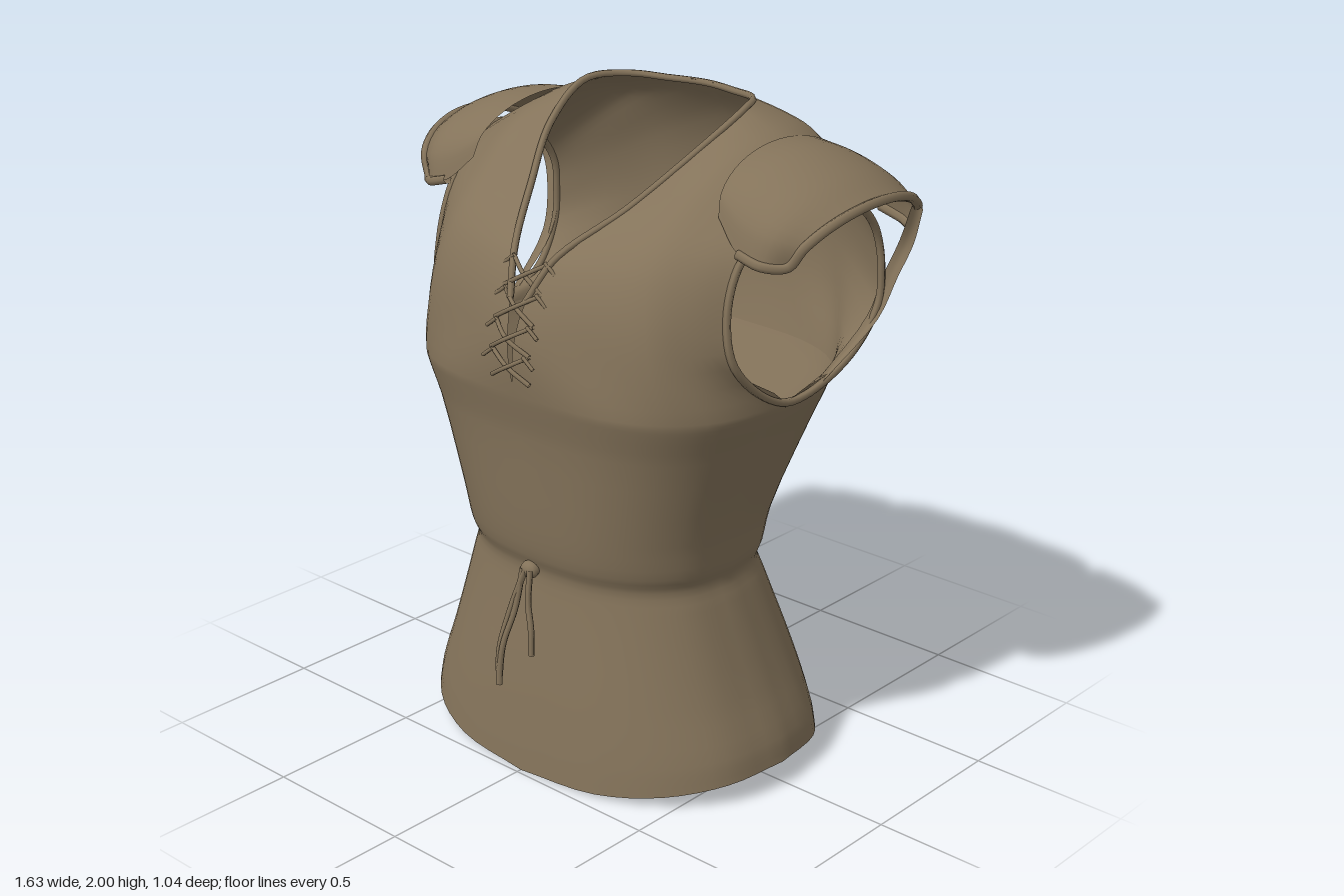
import * as THREE from 'three';
import { mergeGeometries, mergeVertices } from 'three/addons/utils/BufferGeometryUtils.js';

const V = (p) => new THREE.Vector3(...p);
const flip = (p) => [-p[0], p[1], p[2]];
const spline = (pts, closed = false) => new THREE.CatmullRomCurve3(pts.map(V), closed);

// Smooth sheet through rows of control points; side = -1 mirrors it in x
function sheet(rows, side, steps, across) {
  const cols = rows[0].map((_, j) => spline(rows.map((r) => r[j])));
  const n = (rows.length - 1) * steps, w = across + 1;
  const pos = [], idx = [];
  for (let i = 0; i <= n; i++) {
    const line = new THREE.CatmullRomCurve3(cols.map((c) => c.getPoint(i / n)));
    for (let j = 0; j <= across; j++) {
      const p = line.getPoint(j / across);
      pos.push(p.x < 0.003 ? 0 : p.x * side, p.y, p.z);
    }
  }
  for (let i = 0; i < n; i++) for (let j = 0; j < across; j++) {
    const a = i * w + j, b = a + 1, c = a + w, d = c + 1;
    if (side > 0) idx.push(a, b, c, b, d, c);
    else idx.push(a, c, b, b, c, d);
  }
  const g = new THREE.BufferGeometry();
  g.setAttribute('position', new THREE.Float32BufferAttribute(pos, 3));
  g.setIndex(idx);
  return g;
}

function smooth(geos) {
  const g = mergeVertices(mergeGeometries(geos), 1e-3);
  g.computeVertexNormals();
  return g;
}

// Quarter of a torso ring, from the centre line to the side seam; squarer at the chest
function quarterRing([y, w, zf, zb], end) {
  const mid = (zf + zb) / 2, depth = (zf - zb) / 2;
  const e = 2 / (2.3 + 0.5 * THREE.MathUtils.clamp((y - 0.66) / 0.5, 0, 1));
  return [0, 1, 2, 3, 4].map((k) => {
    const a = (k * Math.PI) / 8, s = Math.sin(a), c = k === 4 ? 0 : Math.cos(a);
    const lift = 0.08 * Math.max(0, 1 - y / 0.3) * s * s;
    return [w * s ** e, y + lift, mid + end * depth * c ** e];
  });
}

// Height, half width, front z, back z
const TORSO = [
  [0, 0.645, 0.485, -0.45], [0.1, 0.63, 0.475, -0.44], [0.3, 0.57, 0.45, -0.405],
  [0.57, 0.478, 0.407, -0.315], [0.64, 0.455, 0.402, -0.295], [0.69, 0.47, 0.42, -0.31],
  [0.8, 0.485, 0.435, -0.33], [1.08, 0.565, 0.458, -0.425], [1.18, 0.6, 0.477, -0.46],
  [1.22, 0.61, 0.484, -0.473],
];

// Neck edge, middle and armhole edge, from the chest over the shoulder and down the back
const SHOULDER = [
  [[0.01, 1.36, 0.495], [0.44, 1.36, 0.395], [0.59, 1.37, 0.21]],
  [[0.03, 1.5, 0.46], [0.41, 1.51, 0.38], [0.57, 1.51, 0.225]],
  [[0.08, 1.62, 0.39], [0.38, 1.64, 0.33], [0.57, 1.65, 0.18]],
  [[0.19, 1.75, 0.21], [0.38, 1.76, 0.21], [0.59, 1.73, 0.1]],
  [[0.28, 1.89, 0.03], [0.41, 1.87, 0.06], [0.63, 1.77, 0]],
  [[0.305, 1.985, -0.15], [0.44, 1.93, -0.15], [0.66, 1.8, -0.13]],
  [[0.24, 1.99, -0.27], [0.4, 1.92, -0.33], [0.645, 1.74, -0.27]],
  [[0.13, 1.985, -0.32], [0.37, 1.89, -0.395], [0.645, 1.68, -0.33]],
  [[0, 1.985, -0.345], [0.34, 1.84, -0.43], [0.645, 1.62, -0.36]],
  [[0, 1.87, -0.44], [0.34, 1.73, -0.475], [0.65, 1.54, -0.37]],
  [[0, 1.66, -0.51], [0.35, 1.56, -0.497], [0.65, 1.43, -0.36]],
  [[0, 1.42, -0.512], [0.4, 1.37, -0.465], [0.63, 1.29, -0.25]],
].map((r) => [0, 1, 2, 3, 4].map((k) => spline(r).getPoint(k / 4).toArray()));

// Shoulder cap arches, inner to outer: x at crown and ends, y at crown and ends, centre z, half span
const ARCHES = [
  [0.45, 0.48, 1.93, 1.77, -0.14, 0.3], [0.57, 0.57, 1.92, 1.69, -0.14, 0.325],
  [0.7, 0.65, 1.875, 1.67, -0.14, 0.32], [0.8, 0.705, 1.815, 1.67, -0.145, 0.28],
];
const CAP = Array.from({ length: 9 }, (_, i) => {
  const t = ((i - 4) * Math.PI) / 8, c = Math.cos(t);
  return ARCHES.map(([x0, x1, y0, y1, z, h]) =>
    [x1 + (x0 - x1) * c, y1 + (y0 - y1) * c, z - h * Math.sin(t)]);
});

// Flat strap behind each armhole: centre x, y, z and half width
const STRAP = [
  [0.62, 1.25, -0.14, 0.01], [0.655, 1.4, -0.33, 0.02], [0.677, 1.52, -0.38, 0.025],
  [0.712, 1.62, -0.4, 0.025], [0.765, 1.74, -0.37, 0.02],
].map(([x, y, z, h]) => [[x - h, y, z], [x, y, z - 0.012], [x + h, y, z]]);

export function createModel() {
  const group = new THREE.Group();
  const cloth = new THREE.MeshStandardMaterial({ color: 0x84735a, side: THREE.DoubleSide });
  cloth.name = 'brown cloth';

  const add = (name, geo) => {
    const m = new THREE.Mesh(geo, cloth);
    m.name = name;
    group.add(m);
    return m;
  };
  const cord = (name, pts, r, closed = false) =>
    add(name, new THREE.TubeGeometry(spline(pts, closed), pts.length * 6, r, 6, closed));
  const bothSides = (rows) => smooth([sheet(rows, 1, 3, 16), sheet(rows, -1, 3, 16)]);

  // Bodice and skirt as one shell
  const front = TORSO.map((t) => quarterRing(t, 1));
  const back = TORSO.map((t) => quarterRing(t, -1)).reverse();
  add('bodice', bothSides([...front, ...SHOULDER, ...back]));

  // Lining, deepest at the waist and meeting the shell at hem and chest
  const inner = TORSO.map(([y, w, f, b]) => {
    const d = 0.06 * Math.sin((Math.PI * y) / 1.22);
    return [y, w - d, f - d, b + d];
  });
  for (const end of [1, -1]) add('lining', bothSides(inner.map((t) => quarterRing(t, end))));

  // Neckline binding
  const neck = SHOULDER.slice(1, 9).map((r) => r[0]);
  cord('neckBinding', [...neck, ...neck.slice(0, -1).reverse().map(flip)], 0.011);

  // Armhole bindings, shoulder caps and rear straps
  const armhole = [back[0][4], ...SHOULDER.map((r) => r[4])];
  const rim = [...CAP[0].slice(1, 3), ...CAP.map((r) => r[3]), ...CAP[8].slice(1, 3).reverse()];
  for (const side of [1, -1]) {
    const label = side > 0 ? 'left' : 'right';
    const put = (pts) => (side > 0 ? pts : pts.map(flip));
    cord(label + 'ArmholeBinding', put(armhole), 0.012, true);
    add(label + 'ShoulderCap', smooth([sheet(CAP, side, 3, 12)]));
    cord(label + 'CapHem', put(rim), 0.015);
    add(label + 'RearStrap', smooth([sheet(STRAP, side, 4, 4)]));
  }

  // Crossed chest lacing
  const laceZ = (y) => (y < 1.4 ? 0.505 : 0.505 - (y - 1.4) * 0.45);
  for (let k = 0; k < 4; k++) {
    const y0 = 1.27 + k * 0.085, y1 = y0 + 0.085, ym = (y0 + y1) / 2;
    for (const s of [1, -1]) {
      cord('lace', [[-0.075 * s, y0, laceZ(y0) - 0.01], [0, ym, laceZ(ym) + 0.008 + s * 0.004],
        [0.075 * s, y1, laceZ(y1) - 0.01]], 0.007);
      cord('laceEnd', [[0.06 * s, y1, laceZ(y1)], [0.1 * s, y1 - 0.03, laceZ(y1)]], 0.006);
    }
  }

  // Waist tie with hanging tails
  const knot = add('waistKnot', new THREE.SphereGeometry(0.03, 10, 8));
  knot.position.set(-0.015, 0.645, 0.415);
  knot.scale.set(1.1, 0.9, 0.8);
  const tails = [
    [[-0.02, 0.65, 0.43], [-0.065, 0.5, 0.455], [-0.085, 0.38, 0.48], [-0.075, 0.27, 0.495]],
    [[-0.03, 0.65, 0.43], [-0.045, 0.52, 0.45], [-0.07, 0.4, 0.48], [-0.08, 0.28, 0.49]],
    [[0, 0.65, 0.43], [0.005, 0.55, 0.445], [0.025, 0.47, 0.455], [0.03, 0.39, 0.46]],
  ];
  tails.forEach((t) => cord('tieTail', t, 0.01));

  return group;
}
